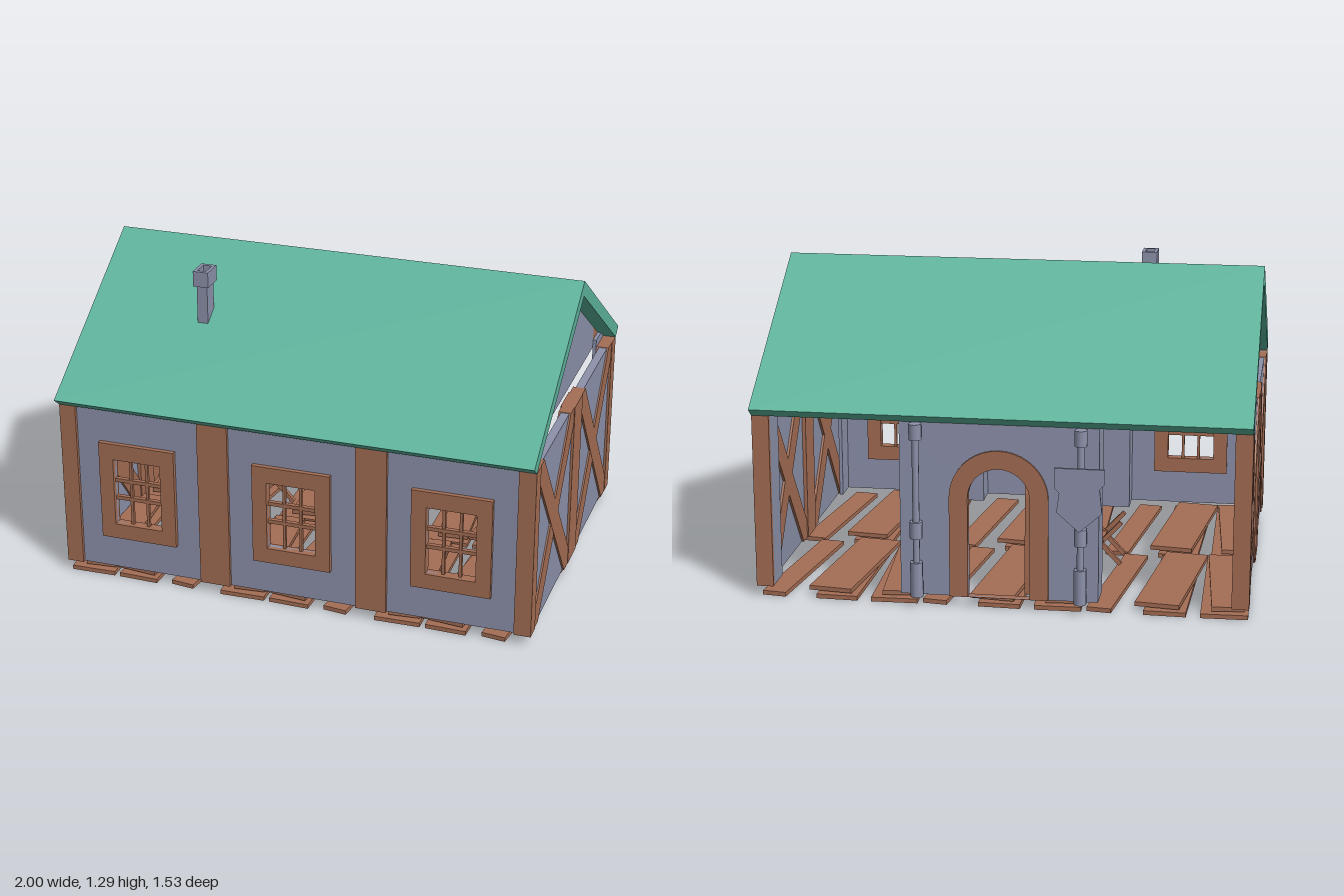
import * as THREE from 'three';

const mat = (name, color) => {
  const m = new THREE.MeshStandardMaterial({ color });
  m.name = name;
  return m;
};

export function createModel() {
  const root = new THREE.Group();
  const blue = mat('slate blue plaster', 0x8d92ab);
  const brown = mat('timber brown', 0xa46d54);
  const green = mat('roof green', 0x5db39c);
  const MID = 0.015, BASE = 0.045, TOP = 0.765;

  const add = (name, geo, m, parent = root) => {
    const mesh = new THREE.Mesh(geo, m);
    mesh.name = name;
    parent.add(mesh);
    return mesh;
  };
  // box given by its extents
  const box = (name, m, x0, x1, y0, y1, z0, z1, parent) => {
    const b = add(name, new THREE.BoxGeometry(x1 - x0, y1 - y0, z1 - z0), m, parent);
    b.position.set((x0 + x1) / 2, (y0 + y1) / 2, (z0 + z1) / 2);
    return b;
  };
  const poly = pts => new THREE.Shape(pts.map(p => new THREE.Vector2(...p)));
  const rect = (x0, x1, y0, y1) => poly([[x0, y0], [x1, y0], [x1, y1], [x0, y1]]);
  const extrude = (shape, depth) =>
    new THREE.ExtrudeGeometry(shape, { depth, bevelEnabled: false, curveSegments: 10 });
  // shape in the xy plane, spanning z0..z1
  const slabZ = (name, m, shape, z0, z1, parent) =>
    add(name, extrude(shape, z1 - z0).translate(0, 0, z0), m, parent);
  // shape drawn in (z, y), spanning x0..x1
  const slabX = (name, m, shape, x0, x1, parent) =>
    add(name, extrude(shape, x1 - x0).rotateY(-Math.PI / 2).translate(x1, 0, 0), m, parent);
  const arch = (r, yc, y0) => {
    const s = new THREE.Shape();
    s.moveTo(-r, y0);
    s.lineTo(r, y0);
    s.lineTo(r, yc);
    s.absarc(0, yc, r, 0, Math.PI, false);
    s.closePath();
    return s;
  };

  // roof and its inner lining
  slabX('roof', green, poly([[0.765, 0.8], [MID, 1.29], [-0.735, 0.8], [-0.69, TOP],
    [MID, 1.225], [0.72, TOP]]), -1, 1);
  slabX('roofLining', blue, poly([[0.7, 0.778], [MID, 1.224], [-0.67, 0.778], [-0.67, 0.766],
    [MID, 1.212], [0.7, 0.766]]), -0.93, 0.93);

  // chimney
  box('chimney', blue, -0.522, -0.477, 0.95, 1.22, 0.308, 0.377);
  const cap = rect(-0.532, -0.467, -0.39, -0.295);
  cap.holes.push(rect(-0.518, -0.481, -0.374, -0.311));
  add('chimneyCap', extrude(cap, 0.065).rotateX(-Math.PI / 2).translate(0, 1.215, 0), blue);

  // side walls with posts, crossed braces and gables
  for (const s of [-1, 1]) {
    const wall = new THREE.Group();
    wall.name = s > 0 ? 'leftWall' : 'rightWall';
    root.add(wall);
    const sx = (name, m, shape, a, b) =>
      slabX(name, m, shape, Math.min(s * a, s * b), Math.max(s * a, s * b), wall);
    sx('wallPanel', blue, rect(-0.68, 0.71, BASE, TOP - 0.002), 0.955, 0.99);
    for (const [a, b] of [[0.65, 0.72], [-0.055, 0.085], [-0.69, -0.62]])
      sx('post', brown, rect(a, b, BASE, TOP), 0.94, 1);
    for (const [a, c] of [[0.085, 0.65], [-0.62, -0.055]]) {
      const w = 0.06, h = 0.08;
      sx('brace', brown, poly([[a, BASE], [a + w, BASE], [c, TOP - h], [c, TOP],
        [c - w, TOP], [a, BASE + h]]), 0.945, 0.998);
      sx('brace', brown, poly([[c, BASE], [c, BASE + h], [a + w, TOP], [a, TOP],
        [a, TOP - h], [c - w, BASE]]), 0.945, 0.997);
      const m = (a + c) / 2;
      sx('braceJoint', brown, poly([[m - 0.05, 0.38], [m, 0.34], [m + 0.05, 0.38],
        [m + 0.05, 0.43], [m, 0.47], [m - 0.05, 0.43]]), 0.946, 0.996);
    }
    sx('gable', blue, poly([[0.575, TOP], [0.575, 0.86], [MID, 1.225], [-0.545, 0.86],
      [-0.545, TOP]]), 0.915, 0.93);
    for (const k of [-1, 1])
      sx('gableCorner', brown, poly([[MID + k * 0.705, TOP], [MID + k * 0.56, TOP],
        [MID + k * 0.56, 0.86]]), 0.915, 0.93);
  }

  // front wall with three windows
  const front = rect(-0.99, 0.99, BASE, TOP);
  for (const cx of [-0.667, 0, 0.667]) {
    front.holes.push(rect(cx - 0.103, cx + 0.103, 0.255, 0.55));
    const frame = rect(cx - 0.165, cx + 0.165, 0.19, 0.62);
    frame.holes.push(rect(cx - 0.103, cx + 0.103, 0.255, 0.55));
    slabZ('windowFrame', brown, frame, 0.68, 0.725);
    for (const dx of [-0.035, 0.035])
      box('windowBar', brown, cx + dx - 0.006, cx + dx + 0.006, 0.255, 0.55, 0.69, 0.705);
    for (const y of [0.37, 0.45])
      box('windowBar', brown, cx - 0.103, cx + 0.103, y - 0.008, y + 0.008, 0.688, 0.707);
  }
  slabZ('frontWall', blue, front, 0.69, 0.705);
  for (const [a, b] of [[-1, -0.93], [-0.4, -0.27], [0.27, 0.4], [0.93, 1]]) {
    box('frontPost', brown, a, b, BASE, TOP, 0.7, 0.72);
    const corner = Math.abs(a + b) > 1;
    const i = Math.sign(a) * 0.9375;
    // plaster returns behind the posts, front and back
    const [p, q] = corner ? [i - 0.0075, i + 0.0075] : [a, b];
    box('frontPier', blue, p, q, BASE, 0.8, 0.575, 0.695);
    box('backPier', blue, p, q, BASE, 0.8, -0.685, -0.545);
    if (corner) box('backPost', brown, a, b, BASE, TOP, -0.69, -0.67);
  }

  // back wall with arched doorway
  const back = rect(-0.4, 0.4, BASE, TOP + 0.01);
  back.holes.push(arch(0.125, 0.46, BASE + 0.001));
  slabZ('backWall', blue, back, -0.69, -0.67);
  const doorFrame = arch(0.2, 0.46, BASE);
  doorFrame.holes.push(arch(0.125, 0.46, BASE + 0.001));
  slabZ('doorFrame', brown, doorFrame, -0.7, -0.66);

  // door leaf, swung open to the inside
  const door = new THREE.Group();
  door.name = 'door';
  door.position.set(-0.1, 0, -0.66);
  root.add(door);
  const leaf = arch(0.12, 0.46, BASE + 0.01);
  slabX('doorLeaf', brown, leaf, -0.02, 0, door).position.z = 0.12;
  for (const y of [0.14, 0.33])
    box('doorPane', blue, -0.001, 0.004, y - 0.05, y + 0.05, 0.06, 0.17, door);

  // drain pipes with collars
  for (const x of [-0.33, 0.33]) {
    const pipe = (name, r, y0, y1) => {
      const p = add(name, new THREE.CylinderGeometry(r, r, y1 - y0, 10), blue);
      p.position.set(x, (y0 + y1) / 2, -0.716);
    };
    pipe('pipe', 0.014, BASE, TOP);
    pipe('pipeCollar', 0.026, 0.7, TOP);
    pipe('pipeCollar', 0.026, 0.29, 0.36);
    pipe('pipeFoot', 0.026, BASE, 0.19);
  }

  // hanging shield board
  slabZ('signBoard', blue, poly([[-0.43, 0.62], [-0.43, 0.56], [-0.41, 0.54], [-0.42, 0.44],
    [-0.33, 0.36], [-0.24, 0.44], [-0.25, 0.52], [-0.23, 0.54], [-0.23, 0.62]]), -0.765, -0.753);

  // loose floor planks, laid in repeating tiles: [x, width, length, turn, y]
  const planks = [
    [0.105, 0.19, 0.69, 0.02, 0.009], [0.325, 0.17, 0.69, -0.03, 0.009],
    [0.555, 0.1, 0.68, -0.13, 0.009],
    [0.11, 0.13, 0.64, 0.08, 0.032], [0.33, 0.18, 0.64, -0.12, 0.032]];
  for (let i = 0; i < 3; i++) for (let j = 0; j < 2; j++)
    for (const [x, w, l, turn, y] of planks) {
      const p = add('floorPlank', new THREE.BoxGeometry(w, 0.018, l), brown);
      p.position.set(-1 + i * 0.6667 + x, y, MID + (j ? 0.3525 : -0.3525));
      p.rotation.y = turn;
    }

  // small trestle with crossed legs
  const trestle = new THREE.Group();
  trestle.name = 'trestle';
  trestle.position.set(-0.36, 0.14, -0.15);
  root.add(trestle);
  for (const z of [-0.07, 0.07]) for (const k of [-1, 1]) {
    const leg = add('trestleLeg', new THREE.BoxGeometry(0.018, 0.24, 0.018), brown, trestle);
    leg.position.z = z + k * 0.009;
    leg.rotation.z = k * 0.75;
  }
  box('trestleBar', brown, -0.01, 0.01, -0.01, 0.01, -0.09, 0.09, trestle);

  return root;
}
